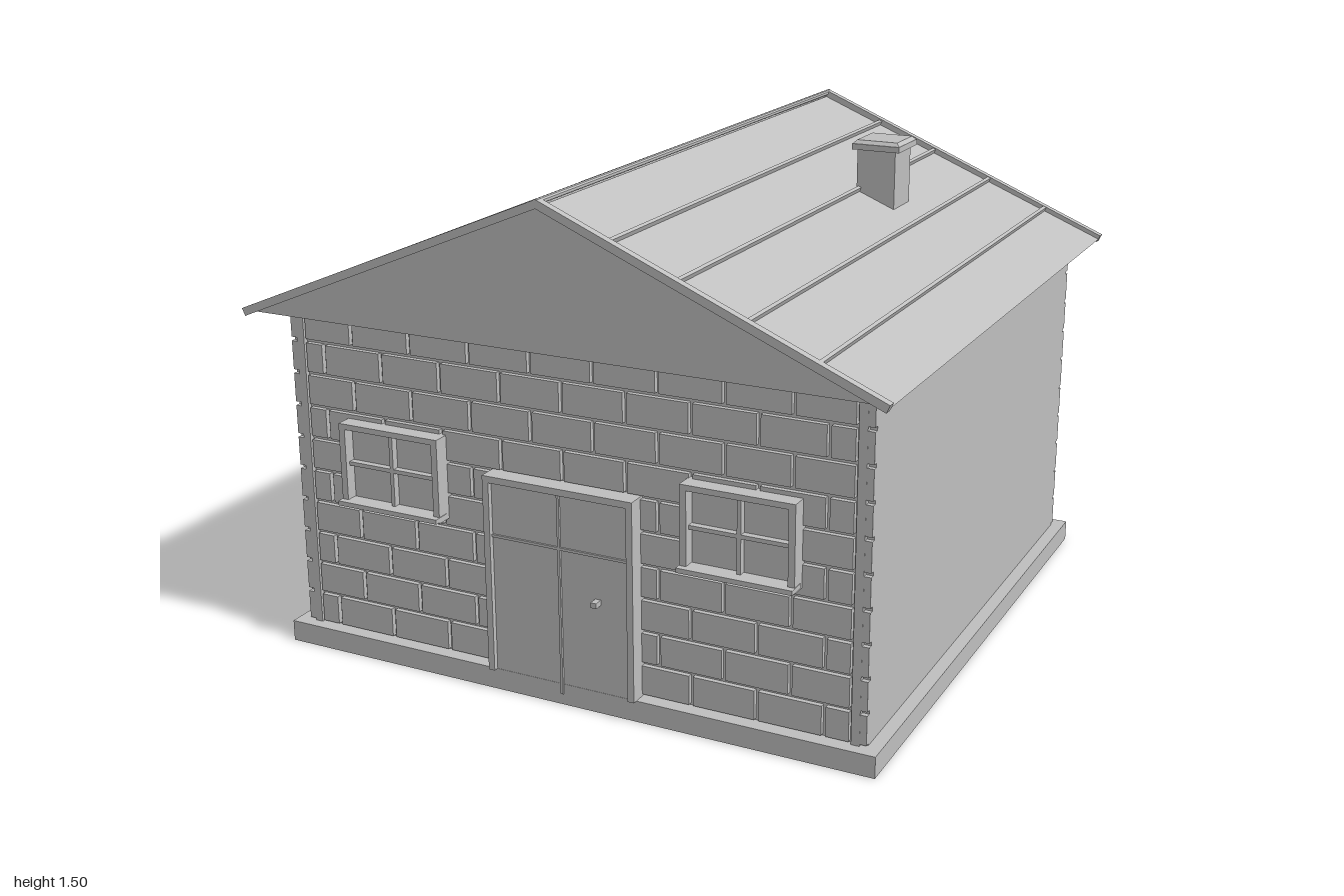
import * as THREE from 'three';

export function createModel() {
  const house = new THREE.Group();
  house.name = 'house';
  const grey = new THREE.MeshStandardMaterial({ color: 0xc0c0c0, flatShading: true });
  grey.name = 'plain grey';

  const add = (name, geometry, parent = house) => {
    const mesh = new THREE.Mesh(geometry, grey);
    mesh.name = name;
    parent.add(mesh);
    return mesh;
  };
  // Box given by its limits on each axis
  const box = (name, x0, x1, y0, y1, z0, z1, parent) => {
    const mesh = add(name, new THREE.BoxGeometry(x1 - x0, y1 - y0, z1 - z0), parent);
    mesh.position.set((x0 + x1) / 2, (y0 + y1) / 2, (z0 + z1) / 2);
    return mesh;
  };
  const group = (name) => {
    const g = new THREE.Group();
    g.name = name;
    house.add(g);
    return g;
  };
  // Outline in x and y, extruded between two z values
  const prism = (name, points, z0, z1) => {
    const shape = new THREE.Shape(points.map(([x, y]) => new THREE.Vector2(x, y)));
    const geometry = new THREE.ExtrudeGeometry(shape, { depth: z1 - z0, bevelEnabled: false });
    add(name, geometry).position.z = z0;
  };

  // Foundation and wall core
  box('foundation', -0.96, 0.96, 0, 0.065, -0.92, 0.92);
  box('walls', -0.92, 0.92, 0.065, 1.07, -0.87, 0.87);

  // Brickwork in running bond on the front and back walls
  const rows = 10, rowHeight = 1.005 / rows, brick = 0.2, gap = 0.012, edge = 0.868;
  for (const [name, side] of [['frontBricks', 1], ['backBricks', -1]]) {
    const wall = group(name);
    for (let r = 0; r < rows; r++) {
      const y = 0.065 + r * rowHeight;
      for (let x = -1 + (r % 2) * brick / 2; x < edge; x += brick) {
        const x0 = Math.max(x, -edge), x1 = Math.min(x + brick - gap, edge);
        if (x1 - x0 < 0.02) continue;
        box('brick', x0, x1, y + gap / 2, y + rowHeight - gap / 2,
          side > 0 ? 0.868 : -0.885, side > 0 ? 0.885 : -0.868, wall);
      }
    }
    // Corner trim, with small blocks along its outer edge
    for (const s of [-1, 1]) {
      const z = side * 0.8765;
      const trim = add('cornerTrim', new THREE.BoxGeometry(0.025, 1.005, 0.017), wall);
      trim.position.set(s * 0.8875, 0.5675, z);
      for (let r = 0; r < rows; r++) {
        const block = add('cornerBlock', new THREE.BoxGeometry(0.02, rowHeight - gap, 0.016), wall);
        block.position.set(s * 0.91, 0.065 + (r + 0.5) * rowHeight, z);
      }
    }
  }

  // Solid gable roof with flat soffit
  const eave = 1.07, ridge = 1.478;
  prism('roof', [[-0.995, eave], [0.995, eave], [0, ridge]], -0.976, 0.976);

  // Bargeboards following the slopes at both ends
  for (const s of [-1, 1]) {
    const board = [[0, 1.475], [s * 0.99, 1.06], [s, 1.082], [0, 1.5]];
    prism('bargeboard', board, 0.975, 1);
    prism('bargeboard', board, -1, -0.975);
  }

  // Seams running along the roof, and the ridge rod
  const slope = Math.atan2(ridge - eave, 0.995);
  for (const s of [-1, 1]) {
    for (const x of [0.2, 0.4, 0.6, 0.8]) {
      const seam = add('roofSeam', new THREE.BoxGeometry(0.011, 0.028, 1.952));
      seam.position.set(s * x, ridge - x * Math.tan(slope), 0);
      seam.rotation.z = -s * slope;
    }
  }
  const rod = add('ridgeRod', new THREE.CylinderGeometry(0.009, 0.009, 1.998, 10));
  rod.rotation.x = Math.PI / 2;
  rod.position.y = 1.492;

  // Chimney with a chamfered cap
  box('chimney', 0.395, 0.52, 1.2, 1.452, -0.415, -0.28);
  box('chimneyCap', 0.38, 0.535, 1.445, 1.463, -0.43, -0.27);
  const top = add('chimneyCapTop',
    new THREE.CylinderGeometry(0.066 * Math.SQRT2, 0.0775 * Math.SQRT2, 0.012, 4).rotateY(Math.PI / 4));
  top.position.set(0.4575, 1.468, -0.35);

  // Double door
  const door = group('door');
  box('doorLeaves', -0.22, 0.22, 0.065, 0.65, 0.87, 0.919, door);
  box('doorFrameTop', -0.24, 0.24, 0.65, 0.67, 0.87, 0.935, door);
  for (const s of [-1, 1]) {
    const jamb = add('doorJamb', new THREE.BoxGeometry(0.02, 0.585, 0.065), door);
    jamb.position.set(s * 0.23, 0.3575, 0.9025);
  }
  box('doorCentreStrip', -0.004, 0.004, 0.035, 0.65, 0.915, 0.926, door);
  box('doorRail', -0.22, 0.22, 0.482, 0.49, 0.915, 0.925, door);
  box('doorHandle', 0.112, 0.13, 0.337, 0.353, 0.915, 0.946, door);

  // Windows with frame, crossbars and sill
  for (const cx of [-0.56, 0.555]) {
    const win = group('window');
    win.position.x = cx;
    box('pane', -0.152, 0.152, 0.51, 0.735, 0.868, 0.898, win);
    box('frameTop', -0.17, 0.17, 0.733, 0.75, 0.868, 0.935, win);
    box('frameBottom', -0.17, 0.17, 0.495, 0.513, 0.868, 0.935, win);
    box('frameLeft', 0.15, 0.17, 0.513, 0.733, 0.868, 0.935, win);
    box('frameRight', -0.17, -0.15, 0.513, 0.733, 0.868, 0.935, win);
    box('verticalBar', -0.006, 0.006, 0.513, 0.733, 0.895, 0.92, win);
    box('horizontalBar', -0.15, 0.15, 0.617, 0.629, 0.895, 0.919, win);
    box('sill', -0.172, 0.172, 0.5, 0.514, 0.9, 0.955, win);
  }
  return house;
}
